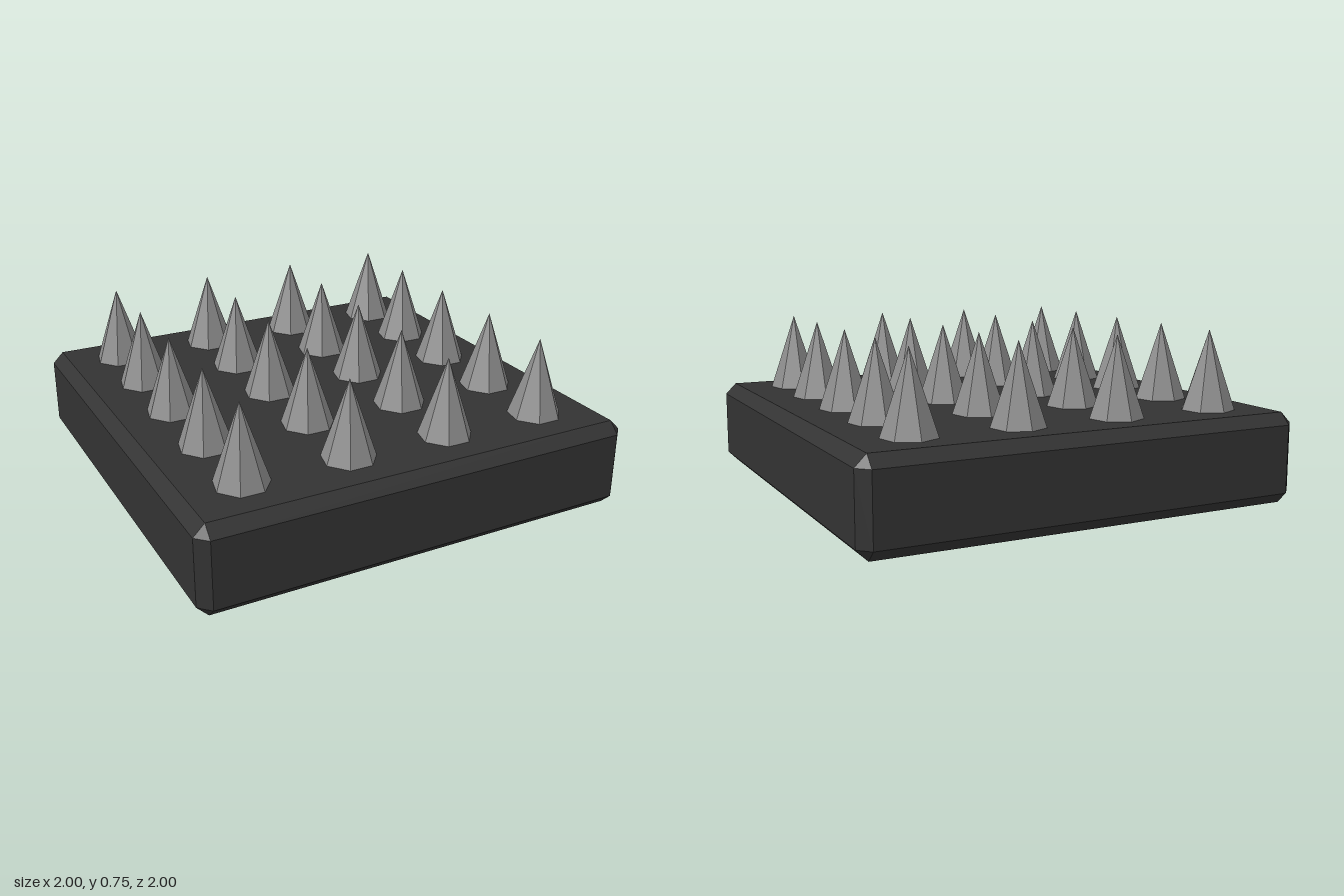
import * as THREE from 'three';
import { ConvexGeometry } from 'three/addons/geometries/ConvexGeometry.js';

// Box with every edge and corner bevelled flat, centred on the origin
function bevelledBox(w, h, d, b) {
  const points = [];
  for (const sx of [-1, 1]) for (const sy of [-1, 1]) for (const sz of [-1, 1]) {
    for (let axis = 0; axis < 3; axis++) {
      const inset = [b, b, b];
      inset[axis] = 0;
      points.push(new THREE.Vector3(
        sx * (w / 2 - inset[0]), sy * (h / 2 - inset[1]), sz * (d / 2 - inset[2])));
    }
  }
  return new ConvexGeometry(points);
}

export function createModel() {
  const model = new THREE.Group();
  model.name = 'spikeTrap';

  const plateMaterial = new THREE.MeshStandardMaterial({ color: 0x333333, flatShading: true });
  const spikeMaterial = new THREE.MeshStandardMaterial({ color: 0x8c8c8c, flatShading: true });

  // Bevelled base plate
  const plate = new THREE.Mesh(bevelledBox(2, 0.4, 2, 0.05), plateMaterial);
  plate.name = 'basePlate';
  plate.position.y = 0.2;
  model.add(plate);

  // Seven-sided spikes in four columns and five rows, one corner facing the back
  const spikes = new THREE.Group();
  spikes.name = 'spikes';
  const spikeGeometry = new THREE.ConeGeometry(0.118, 0.35, 7, 1, true, Math.PI);
  for (const x of [-0.71, -0.235, 0.23, 0.70]) {
    for (const z of [-0.745, -0.39, -0.02, 0.365, 0.735]) {
      const spike = new THREE.Mesh(spikeGeometry, spikeMaterial);
      spike.name = 'spike';
      spike.position.set(x, 0.575, z);
      spikes.add(spike);
    }
  }
  model.add(spikes);

  return model;
}
